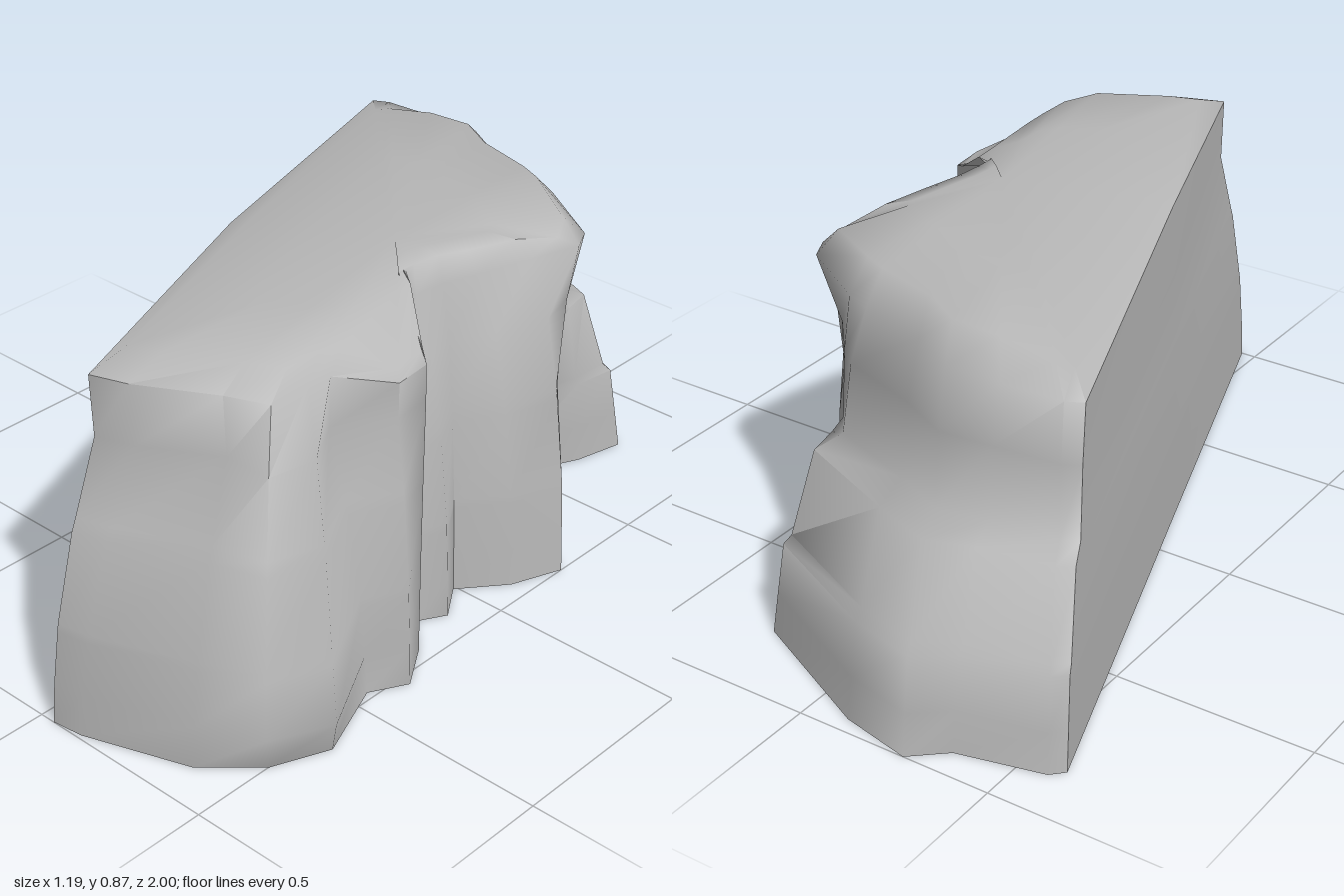
import * as THREE from 'three';
import { mergeGeometries, toCreasedNormals } from 'three/addons/utils/BufferGeometryUtils.js';

// Outline at the foot and at the rim, [x, z], from the front tip round the craggy side
// to the back corner; the last point lies halfway along the flat side.
const foot = [
  [0.04, 1], [0.12, 0.99], [0.38, 0.9], [0.5, 0.79], [0.56, 0.65], [0.48, 0.45], [0.53, 0.36], [0.46, 0.25],
  [0.38, 0.17], [0.42, 0.1], [0.36, 0.01], [0.45, -0.1], [0.5, -0.23], [0.38, -0.31], [0.15, -0.51],
  [0.22, -0.66], [0.25, -0.79], [-0.1, -0.96], [-0.28, -1], [-0.36, -0.93], [-0.57, -0.88], [-0.6, -0.85],
  [-0.253, 0.15],
];
const rim = [
  [0.03, 0.83], [0.12, 0.8], [0.3, 0.7], [0.37, 0.63], [0.37, 0.52], [0.38, 0.46], [0.46, 0.33], [0.45, 0.23],
  [0.27, 0.12], [0.27, 0.06], [0.28, -0.02], [0.31, -0.11], [0.35, -0.25], [0.39, -0.38], [0.36, -0.44],
  [0.17, -0.56], [0.1, -0.59], [-0.08, -0.64], [-0.2, -0.71], [-0.34, -0.71], [-0.49, -0.7], [-0.53, -0.68],
  [-0.228, 0.15],
];
const N = foot.length;
const BACK = 21; // back corner column

// How far each stretch leans from foot to rim at each height
const heights = [0, 0.1, 0.23, 0.25, 0.46, 0.49, 0.66, 0.79];
const leanFront = [0, 0.06, 0.18, 0.2, 0.55, 0.63, 1.04, 1];
const leanBulge = [0, -0.18, -0.03, 0, 0.25, 0.31, 0.62, 1]; // swollen front corner
const leanMiddle = [0, 0.03, 0.08, 0.09, 0.28, 0.32, 0.56, 1];
const leanBack = [0, 0.06, 0.14, 0.22, 0.47, 0.74, 0.84, 1]; // ledge halfway up

function leanOf(i) {
  if (i === 3 || i === 4) return leanBulge;
  if (i < 8) return leanFront;
  return i < 15 || i === N - 1 ? leanMiddle : leanBack;
}

function rimHeight(i) {
  if (i < 3) return 0.815;
  if (i === 6 || i === 7) return 0.75; // low shelf
  return i === N - 1 ? 0.835 : 0.79;
}

function wallPoint(row, i) {
  const t = leanOf(i)[row];
  const y = row === heights.length - 1 ? rimHeight(i) : heights[row];
  return [
    THREE.MathUtils.lerp(foot[i][0], rim[i][0], t), y,
    THREE.MathUtils.lerp(foot[i][1], rim[i][1], t),
  ];
}

// Top surface: highest toward the craggy side, falling off at both ends
function topHeight(x, z) {
  return Math.min(
    0.8 + 0.225 * (x + 0.51), 0.845 + 0.05 * (x + 0.31),
    0.87 - 0.21 * (x - 0.2), 0.84 - (x - 0.34), 0.872 - 0.03 * Math.abs(z),
  );
}

// Rings that shrink toward the middle of the top
function crownPoint(scale, i) {
  const cx = 0.15;
  const x = cx + (rim[i][0] - cx) * scale, z = rim[i][1] * scale;
  return [x, topHeight(x, z), z];
}

// Faces between successive loops for the columns first..last
function loft(loops, first, last) {
  const pos = [];
  for (let r = 0; r < loops.length - 1; r++) {
    for (let i = first; i < last; i++) {
      const a = loops[r][i % N], b = loops[r][(i + 1) % N];
      const c = loops[r + 1][(i + 1) % N], d = loops[r + 1][i % N];
      pos.push(...a, ...b, ...c, ...a, ...c, ...d);
    }
  }
  const g = new THREE.BufferGeometry();
  g.setAttribute('position', new THREE.Float32BufferAttribute(pos, 3));
  return g;
}

export function createModel() {
  const group = new THREE.Group();
  group.name = 'cliffRock';
  // The shell is open underneath
  const stone = new THREE.MeshStandardMaterial({ color: 0xb8b8b8, side: THREE.DoubleSide });
  stone.name = 'greyStone';
  const add = (name, geometry) => {
    const mesh = new THREE.Mesh(toCreasedNormals(geometry, 1.2), stone);
    mesh.name = name;
    group.add(mesh);
  };

  const columns = [...Array(N).keys()];
  const walls = heights.map((_, r) => columns.map((i) => wallPoint(r, i)));
  const crown = [0.88, 0.5, 0].map((s) => columns.map((i) => crownPoint(s, i)));

  // Craggy wall running smoothly into the rounded top
  add('craggyWallAndTop', mergeGeometries([
    loft(walls, 0, BACK),
    loft([walls[walls.length - 1], ...crown], 0, N),
  ]));

  // Flat cut side
  add('flatSide', loft(walls, BACK, N));

  return group;
}
